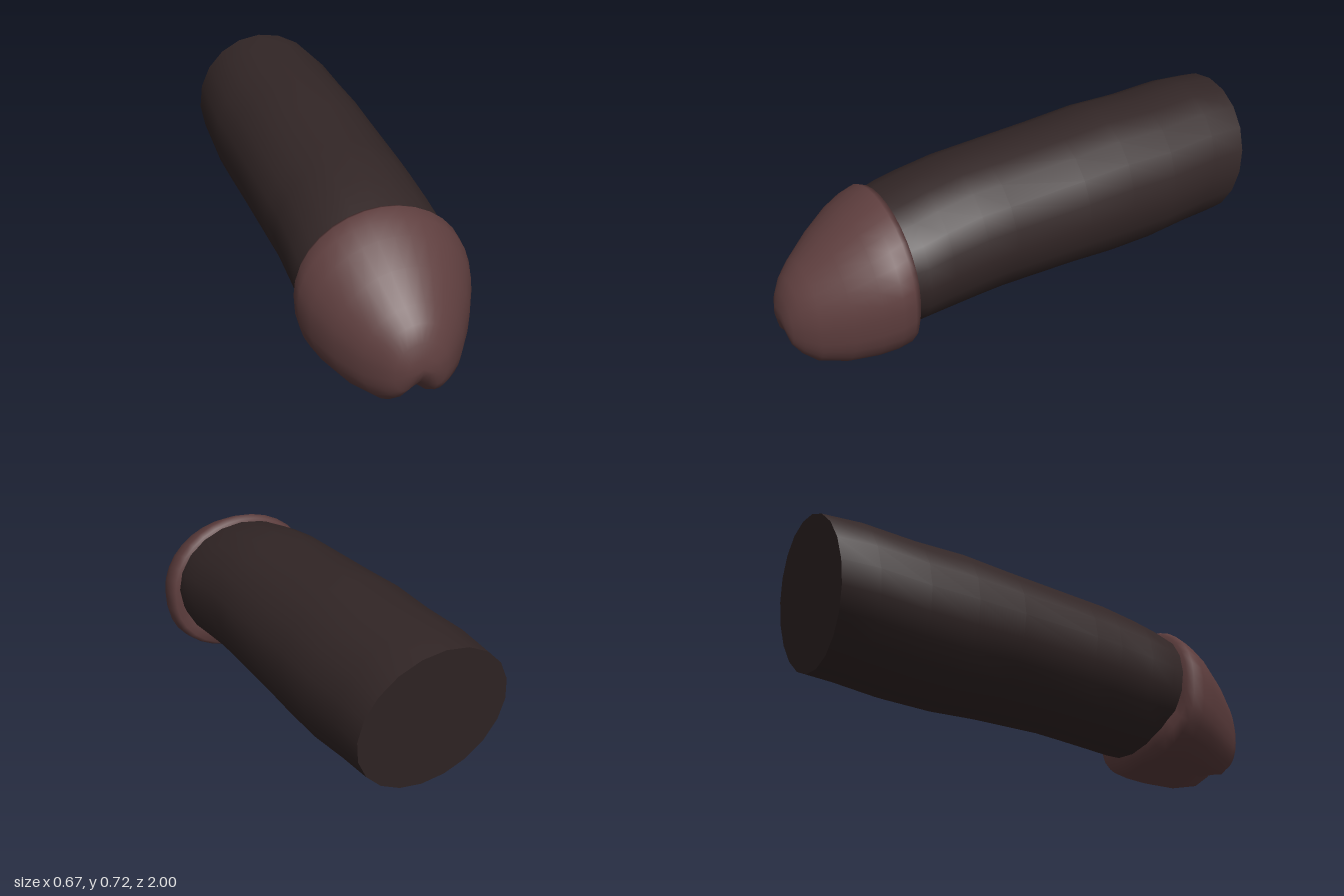
import * as THREE from 'three';

// Skins a list of closed rings, ordered front to back; optional end points close them
function loft(rings, frontTip, backCentre) {
  const n = rings[0].length;
  const pos = rings.flat(2);
  const index = [];
  for (let i = 0; i < rings.length - 1; i++) {
    for (let j = 0; j < n; j++) {
      const a = i * n + j, b = i * n + (j + 1) % n;
      index.push(a, a + n, b, b, a + n, b + n);
    }
  }
  if (frontTip) {
    const t = pos.length / 3;
    pos.push(...frontTip);
    for (let j = 0; j < n; j++) index.push(t, j, (j + 1) % n);
  }
  if (backCentre) {
    const t = pos.length / 3, o = (rings.length - 1) * n;
    pos.push(...backCentre);
    for (let j = 0; j < n; j++) index.push(t, o + (j + 1) % n, o + j);
  }
  const geo = new THREE.BufferGeometry();
  geo.setAttribute('position', new THREE.Float32BufferAttribute(pos, 3));
  geo.setIndex(index);
  geo.computeVertexNormals();
  return geo;
}

// Builds a ring by calling point(cos, sin) around the circle
function ring(sides, point) {
  return Array.from({ length: sides }, (_, j) => {
    const a = (j / sides) * Math.PI * 2;
    return point(Math.cos(a), Math.sin(a));
  });
}

const power = (v, p) => Math.sign(v) * Math.abs(v) ** p;

export function createModel() {
  const group = new THREE.Group();
  const shaftMat = new THREE.MeshStandardMaterial({ color: 0x322626 });
  shaftMat.name = 'dark brown';
  const headMat = new THREE.MeshStandardMaterial({ color: 0x5e3e3e });
  headMat.name = 'reddish brown';

  const add = (name, geo, mat) => {
    const mesh = new THREE.Mesh(geo, mat);
    mesh.name = name;
    group.add(mesh);
  };

  // Shaft sections: z, top, bottom, half width, end slant
  const shaftRings = [
    [0.58, 0.60, 0.10, 0.295, 0],
    [0.50, 0.625, 0.08, 0.31, 0],
    [0.40, 0.65, 0.087, 0.308, 0],
    [0.25, 0.678, 0.097, 0.305, 0],
    [0.13, 0.684, 0.108, 0.31, 0],
    [-0.20, 0.708, 0.108, 0.315, 0],
    [-0.40, 0.728, 0.10, 0.318, 0.01],
    [-0.60, 0.724, 0.108, 0.32, 0.02],
    [-0.80, 0.738, 0.128, 0.312, 0.04],
    [-0.95, 0.728, 0.137, 0.303, 0.05],
  ].map(([z, top, bottom, rx, slant]) => ring(20, (c, s) => [
    rx * c,
    (top + bottom) / 2 + (top - bottom) / 2 * s,
    z - slant * s,
  ]));
  add('shaft', loft(shaftRings), shaftMat);

  // Flat slanted end, separate so that its edge stays sharp
  const last = shaftRings[shaftRings.length - 1];
  add('shaftEnd', loft([last], null, [0, 0.4325, -0.95]), shaftMat);

  // Head sections: z, top, bottom, half width, groove depth, underside sweep
  const headRings = [
    [0.995, 0.25, 0.17, 0.06, 0.02, 0],
    [0.98, 0.31, 0.10, 0.10, 0.055, 0],
    [0.95, 0.37, 0.06, 0.14, 0.07, 0],
    [0.90, 0.42, 0.022, 0.19, 0.07, 0],
    [0.80, 0.505, 0.003, 0.26, 0.05, 0],
    [0.70, 0.575, 0.008, 0.312, 0.035, 0],
    [0.63, 0.61, 0.018, 0.335, 0.02, 0.01],
    [0.58, 0.63, 0.03, 0.335, 0.01, 0.03],
    [0.555, 0.62, 0.055, 0.32, 0, 0.05],
    [0.55, 0.57, 0.12, 0.27, 0, 0.05],
  ].map(([z, top, bottom, rx, groove, sweep]) => ring(32, (c, s) => {
    // The lower half is fuller than an ellipse
    const p = s < 0 ? 0.8 : 1;
    const x = rx * power(c, p);
    const y = (top + bottom) / 2 + (top - bottom) / 2 * power(s, p);
    const cleft = s < 0 ? groove * Math.exp(-((x / 0.05) ** 2)) * s * s : 0;
    return [x, y + cleft, z - sweep * Math.max(0, -s - 0.5) * 2];
  }));
  add('head', loft(headRings, [0, 0.21, 0.995]), headMat);

  return group;
}
